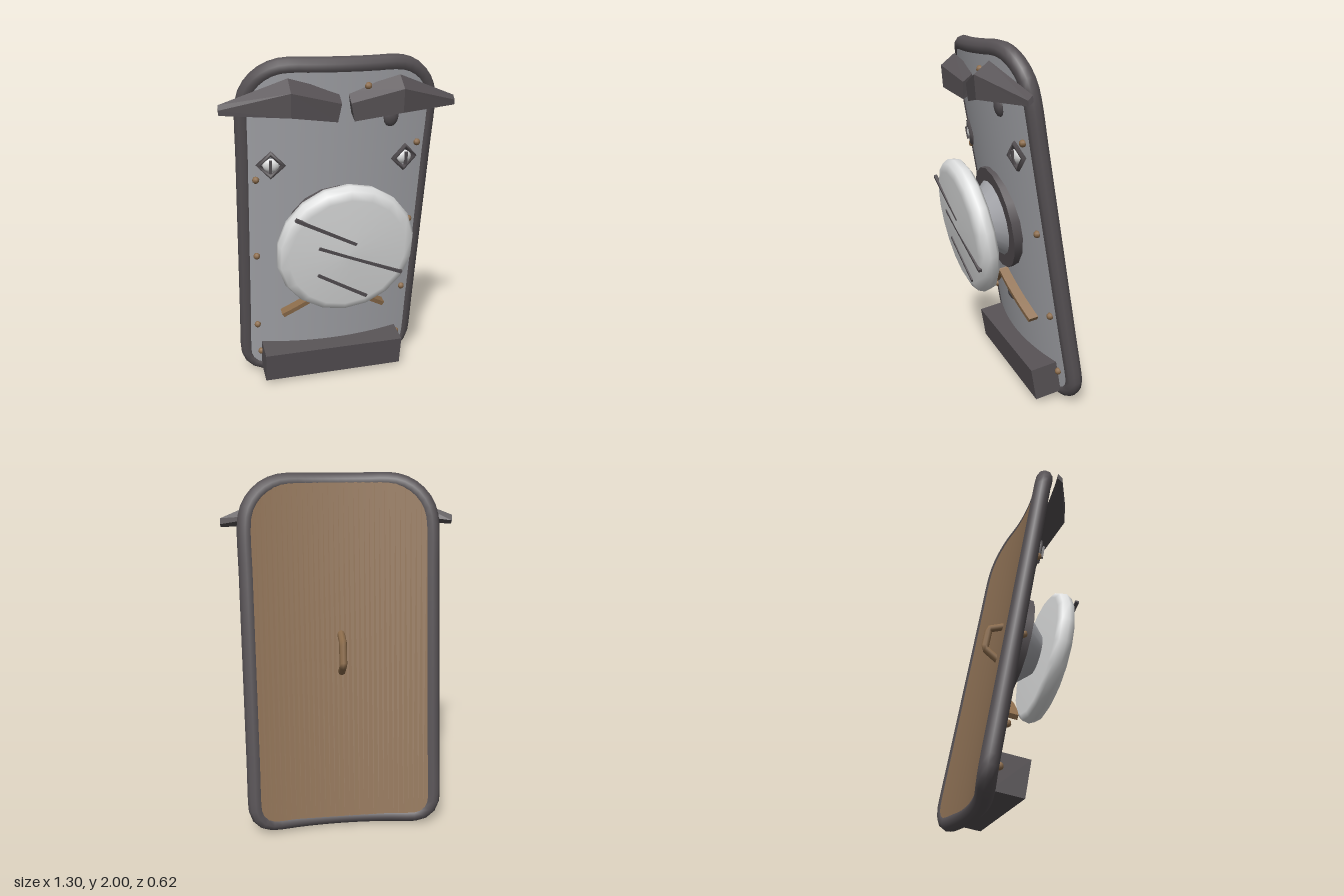
import * as THREE from 'three';

const mat = (name, color) => {
  const m = new THREE.MeshStandardMaterial({ color });
  m.name = name;
  return m;
};

const W = 0.512, H = 0.965, R_TOP = 0.24, R_BOTTOM = 0.11;
const TILT = THREE.MathUtils.degToRad(10);
const bow = x => -0.27 * x * x;            // the plate curves back at its sides

// Height of the rounded outline above or below the centre at a given x
function edgeHeight(x, r) {
  const d = Math.max(0, Math.abs(x) - (W - r));
  return H - r + Math.sqrt(Math.max(0, r * r - d * d));
}

// Push a geometry back along the curve of the plate
function bend(geo) {
  const p = geo.attributes.position;
  for (let i = 0; i < p.count; i++) p.setZ(i, p.getZ(i) + bow(p.getX(i)));
  geo.computeVertexNormals();
  return geo;
}

// Curved sheet that fills the rounded outline
function sheet(offset, back) {
  const geo = new THREE.PlaneGeometry(2 * W, 2, 36, 1);
  const p = geo.attributes.position;
  for (let i = 0; i < p.count; i++) {
    const x = p.getX(i);
    p.setY(i, p.getY(i) > 0 ? edgeHeight(x, R_TOP) : -edgeHeight(x, R_BOTTOM));
    p.setZ(i, offset);
  }
  if (back) geo.rotateY(Math.PI).translate(0, 0, 2 * offset);
  return bend(geo);
}

// Closed rounded outline for the rim
function rimCurve() {
  const pts = [];
  const corner = (sx, sy, r, start) => {
    for (let i = 0; i <= 5; i++) {
      const a = start + (i / 5) * Math.PI / 2;
      const x = sx * (W - r) + r * Math.cos(a);
      pts.push(new THREE.Vector3(x, sy * (H - r) + r * Math.sin(a), bow(x)));
    }
  };
  const straight = (x0, y0, x1, y1) => {
    for (let i = 1; i < 6; i++) {
      const x = x0 + (x1 - x0) * i / 6;
      pts.push(new THREE.Vector3(x, y0 + (y1 - y0) * i / 6, bow(x)));
    }
  };
  corner(1, 1, R_TOP, 0);
  straight(W - R_TOP, H, R_TOP - W, H);
  corner(-1, 1, R_TOP, Math.PI / 2);
  straight(-W, H - R_TOP, -W, R_BOTTOM - H);
  corner(-1, -1, R_BOTTOM, Math.PI);
  straight(R_BOTTOM - W, -H, W - R_BOTTOM, -H);
  corner(1, -1, R_BOTTOM, Math.PI * 1.5);
  straight(W, R_BOTTOM - H, W, H - R_TOP);
  return new THREE.CatmullRomCurve3(pts, true);
}

// Flat-faced loft through four-cornered sections
function loft(sections) {
  const pos = [];
  const quad = (a, b, c, d) => pos.push(...a, ...b, ...c, ...a, ...c, ...d);
  for (let s = 0; s < sections.length - 1; s++) {
    const A = sections[s], B = sections[s + 1];
    for (let i = 0; i < 4; i++) {
      const j = (i + 1) % 4;
      quad(A[i], A[j], B[j], B[i]);
    }
  }
  quad(...[...sections[0]].reverse());
  quad(...sections[sections.length - 1]);
  const geo = new THREE.BufferGeometry();
  geo.setAttribute('position', new THREE.Float32BufferAttribute(pos, 3));
  geo.computeVertexNormals();
  return geo;
}

export function createModel() {
  const dark = mat('dark iron', 0x575255);
  const steel = mat('grey steel', 0xa8a9ae);
  const wood = mat('brown backing', 0x8e7155);
  const bronze = mat('bronze', 0x8c6c4b);
  const white = mat('pale metal', 0xdfe0e0);

  const model = new THREE.Group();
  model.name = 'faceShield';
  const shield = new THREE.Group();
  shield.name = 'tiltedShield';
  shield.position.set(0, 1, -0.035);
  shield.rotation.x = TILT;
  model.add(shield);

  const add = (name, geo, material, parent = shield) => {
    const mesh = new THREE.Mesh(geo, material);
    mesh.name = name;
    parent.add(mesh);
    return mesh;
  };
  // Place an object on the plate at a front-view x and height y
  const place = (object, x, y, off) => {
    const z = off + bow(x);
    object.position.set(x, (y - 1 + z * Math.sin(TILT)) / Math.cos(TILT), z);
  };

  // Plate and rim
  add('frontPlate', sheet(0.04, false), steel);
  add('backPlate', sheet(-0.045, true), wood);
  add('rim', new THREE.TubeGeometry(rimCurve(), 120, 0.048, 10, true), dark);

  // Snout: base disc, tapering hub and round nose disc
  add('snoutBase', new THREE.CylinderGeometry(0.3, 0.3, 0.06, 18).rotateX(Math.PI / 2).translate(0, 0, 0.038), dark);
  add('snoutHub', new THREE.CylinderGeometry(0.1, 0.23, 0.14, 18).rotateX(Math.PI / 2).translate(0, 0, 0.13), steel);
  const profile = [[0, 0.18], [0.355, 0.18], [0.386, 0.2], [0.393, 0.24], [0.376, 0.274], [0.33, 0.291], [0, 0.302]]
    .map(([x, y]) => new THREE.Vector2(x, y));
  add('noseDisc', new THREE.LatheGeometry(profile, 18).rotateX(Math.PI / 2), white);

  // Scratches across the nose
  [[-0.3, 1.19, 0.04, 1.01], [-0.17, 1.01, 0.32, 0.8], [-0.17, 0.84, 0.12, 0.665]].forEach(([x0, y0, x1, y1]) => {
    const s = add('noseScratch', new THREE.BoxGeometry(Math.hypot(x1 - x0, y1 - y0), 0.018, 0.02), dark);
    const y = (y0 + y1) / 2 - 1;
    s.position.set((x0 + x1) / 2, (y + 0.292 * Math.sin(TILT)) / Math.cos(TILT), 0.292);
    s.rotation.z = Math.atan2(y1 - y0, x1 - x0);
  });

  // Eyes: diamond frame, pale eyeball, slit pupil
  for (const s of [-1, 1]) {
    const eye = new THREE.Group();
    eye.name = s > 0 ? 'leftEye' : 'rightEye';
    shield.add(eye);
    place(eye, 0.38 * s, 1.425, 0.045);
    eye.rotation.y = s * 0.2;
    add('eyeFrame', new THREE.TorusGeometry(0.067, 0.016, 6, 4), dark, eye);
    add('eyeball', new THREE.SphereGeometry(0.046, 12, 8).scale(1, 0.85, 0.5), white, eye);
    add('pupil', new THREE.BoxGeometry(0.016, 0.075, 0.012).translate(0, 0, 0.022), dark, eye);
  }

  // Brows: sections run front top, back top, back bottom, front bottom
  const brow = [
    [0.025, 0.045, [1.765, 0.2], [1.82, 0.13], [1.72, 0.1], [1.67, 0.195]],
    [0.3, 0.3, [1.835, 0.245], [1.9, 0.165], [1.78, 0.12], [1.71, 0.235]],
    [0.648, 0.648, [1.742, 0.098], [1.766, 0.075], [1.735, 0.07], [1.715, 0.095]],
  ];
  for (const s of [-1, 1]) {
    const sections = brow.map(([xt, xb, ...yz]) =>
      yz.map(([y, z], i) => [s * (i < 2 ? xt : xb), y, z]));
    if (s > 0) sections.forEach(q => q.reverse());
    add(s > 0 ? 'leftBrow' : 'rightBrow', loft(sections), dark, model);
  }

  // Bronze whisker bars that follow the curve of the plate
  for (const s of [-1, 1]) {
    const geo = new THREE.BoxGeometry(0.375, 0.026, 0.07, 6, 1, 1);
    geo.rotateZ(-s * 0.565).translate(s * 0.158, -0.435, 0.06);
    add(s > 0 ? 'leftWhisker' : 'rightWhisker', bend(geo.toNonIndexed()), bronze);
  }

  // Jaw block at the foot
  add('jawBlock', new THREE.BoxGeometry(0.87, 0.19, 0.17).translate(0, -0.868, 0.057), dark);

  // Dents
  [[0.018, 0.52, 0.05, 0.05], [0.275, 1.67, 0.045, 0.058]].forEach(([x, y, rx, ry]) =>
    place(add('dent', new THREE.SphereGeometry(1, 10, 6).scale(rx, ry, 0.025), dark), x, y, 0.042));

  // Rivets
  [[0.13, 1.845], [0.455, 1.505], [0.455, 1.02], [0.455, 0.54], [0.45, 0.19],
    [-0.46, 1.34], [-0.46, 0.86], [-0.46, 0.375], [-0.44, 0.17]].forEach(([x, y]) =>
    place(add('rivet', new THREE.SphereGeometry(0.02, 8, 6), bronze), x, y, 0.046));

  // Grip on the back
  const grip = new THREE.CurvePath();
  const g = [[0.125, -0.03], [0.08, -0.12], [-0.05, -0.122], [-0.1, -0.03]].map(([y, z]) => new THREE.Vector3(0, y, z));
  for (let i = 0; i < 3; i++) grip.add(new THREE.LineCurve3(g[i], g[i + 1]));
  add('backGrip', new THREE.TubeGeometry(grip, 14, 0.022, 8, false), bronze);

  return model;
}
